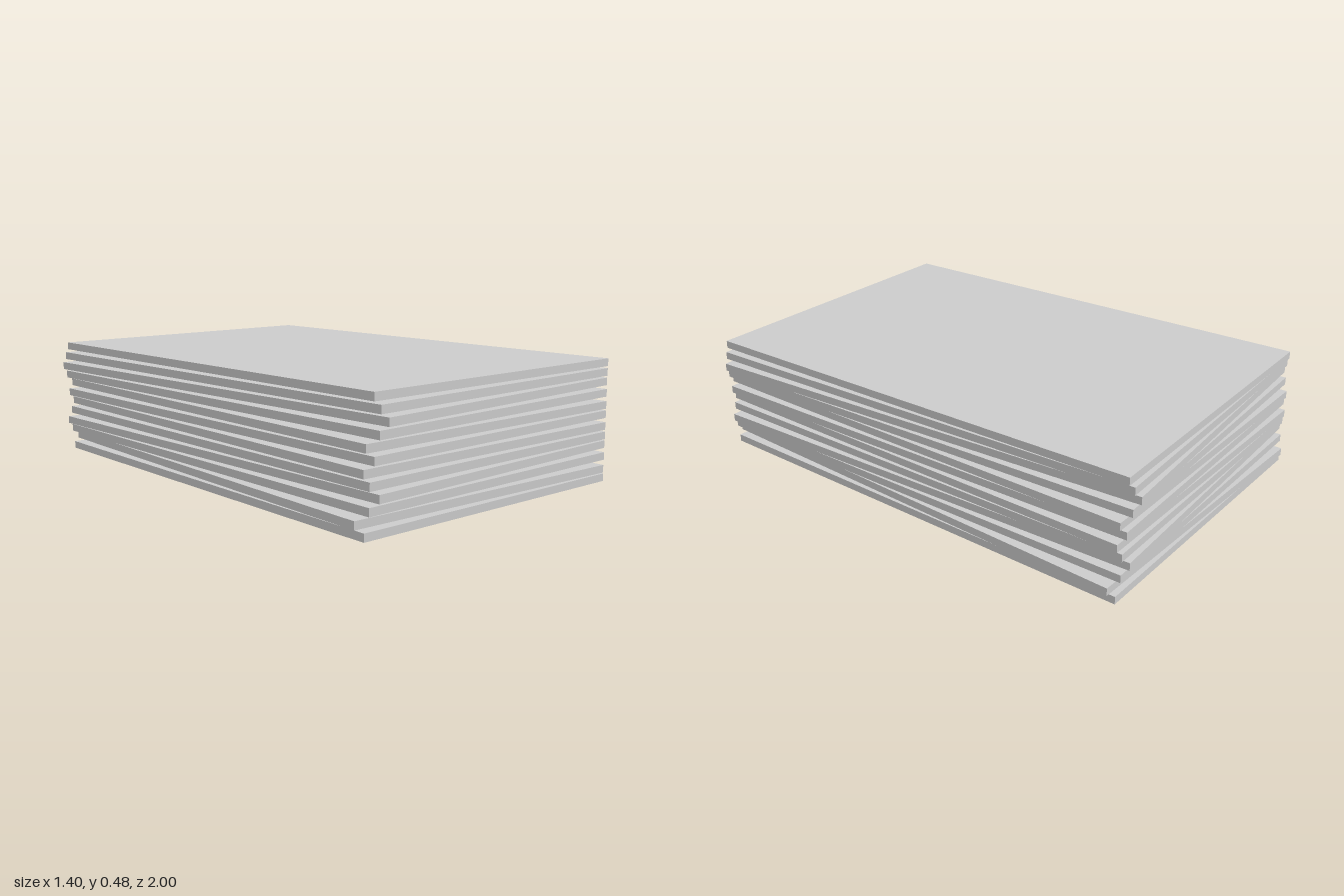
import * as THREE from 'three';

// A loose stack of thin boards, each turned slightly about the vertical axis.
export function createModel() {
  const group = new THREE.Group();
  group.name = 'boardStack';

  const width = 1.27, depth = 1.914, thickness = 0.03, pitch = 0.0408;
  const turns = [0, -0.027, 0.014, 0.042, 0.015, -0.002, 0.027, 0.004, 0.042, 0.068, 0.045, 0.026];

  const geometry = new THREE.BoxGeometry(width, thickness, depth);
  const material = new THREE.MeshStandardMaterial({ color: 0xcccccc });

  // Boards from the bottom up, with a narrow gap between neighbours
  turns.forEach((turn, i) => {
    const board = new THREE.Mesh(geometry, material);
    board.name = `board${i + 1}`;
    board.position.y = thickness / 2 + i * pitch;
    board.rotation.y = turn;
    group.add(board);
  });

  return group;
}
